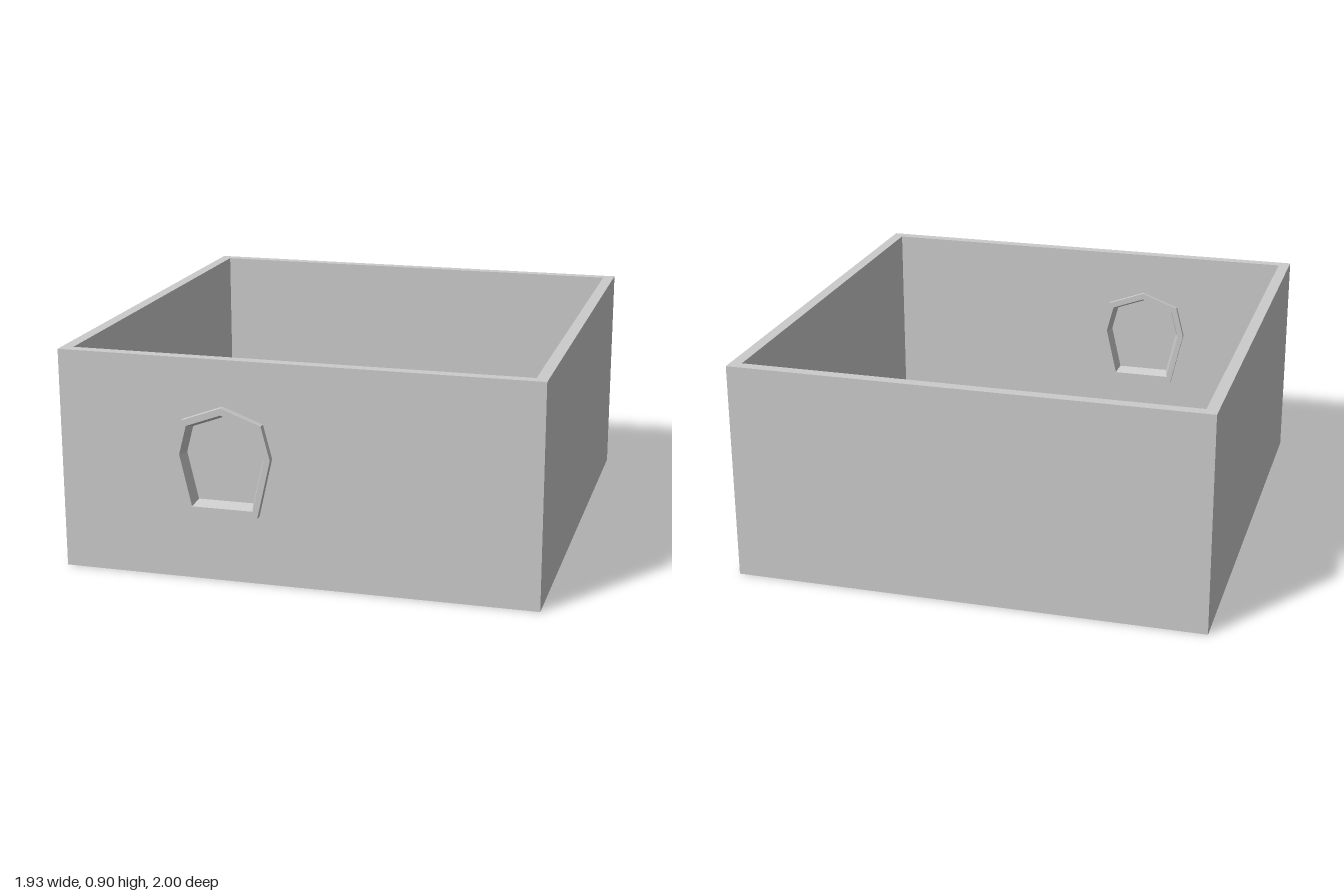
import * as THREE from 'three';

// Seven-sided window outline, counter-clockwise, around its centre
const CENTRE = [-0.2875, 0.5];
const OUTLINE = [
  [0.1425, -0.22], [0.1975, 0.02], [0.1625, 0.155], [0, 0.215],
  [-0.1625, 0.155], [-0.1975, 0.02], [-0.1425, -0.22],
];
const outline = (s) => OUTLINE.map(([x, y]) => new THREE.Vector2(CENTRE[0] + x * s, CENTRE[1] + y * s));

// Closed band through [scale, z] cross-section points, with flat facets
function frameGeometry(section) {
  const rings = section.map(([s, z]) => outline(s).map((p) => [p.x, p.y, z]));
  const pos = [];
  rings.forEach((ring, k) => {
    const next = rings[(k + 1) % rings.length];
    ring.forEach((a, j) => {
      const m = (j + 1) % ring.length;
      pos.push(...a, ...ring[m], ...next[m], ...a, ...next[m], ...next[j]);
    });
  });
  const geo = new THREE.BufferGeometry();
  geo.setAttribute('position', new THREE.Float32BufferAttribute(pos, 3));
  geo.computeVertexNormals();
  return geo;
}

export function createModel() {
  const group = new THREE.Group();
  const mat = new THREE.MeshStandardMaterial({ color: 0xcccccc, flatShading: true });
  const paneMat = new THREE.MeshStandardMaterial({ color: 0xcccccc, side: THREE.DoubleSide });

  const add = (name, geo, material = mat) => {
    const mesh = new THREE.Mesh(geo, material);
    mesh.name = name;
    group.add(mesh);
    return mesh;
  };
  const box = (name, x0, x1, y0, y1, z0, z1) =>
    add(name, new THREE.BoxGeometry(x1 - x0, y1 - y0, z1 - z0))
      .position.set((x0 + x1) / 2, (y0 + y1) / 2, (z0 + z1) / 2);

  const X = 0.965, H = 0.9, T = 0.047, BACK = -1, FRONT = 0.97;

  // Floor, back wall and side walls
  box('floor', -X + T, X - T, 0, T, BACK + T, FRONT - T);
  box('backWall', -X, X, 0, H, BACK, BACK + T);
  for (const [name, s] of [['leftWall', 1], ['rightWall', -1]]) {
    const a = s * X, b = s * (X - T);
    box(name, Math.min(a, b), Math.max(a, b), 0, H, BACK + T, FRONT - T);
  }

  // Front wall with the window opening
  const wall = new THREE.Shape([
    new THREE.Vector2(-X, 0), new THREE.Vector2(X, 0),
    new THREE.Vector2(X, H), new THREE.Vector2(-X, H),
  ]);
  wall.holes.push(new THREE.Path(outline(0.95).reverse()));
  add('frontWall', new THREE.ExtrudeGeometry(wall, { depth: T, bevelEnabled: false }))
    .position.z = FRONT - T;

  // Window frame with splayed reveals on both faces, and its pane
  add('windowFrame', frameGeometry([
    [1, 0.905], [1, 1], [0.87, 1], [0.79, 0.9525], [0.87, 0.905],
  ]));
  add('windowPane', new THREE.ShapeGeometry(new THREE.Shape(outline(0.8))), paneMat)
    .position.z = 0.9525;

  return group;
}
